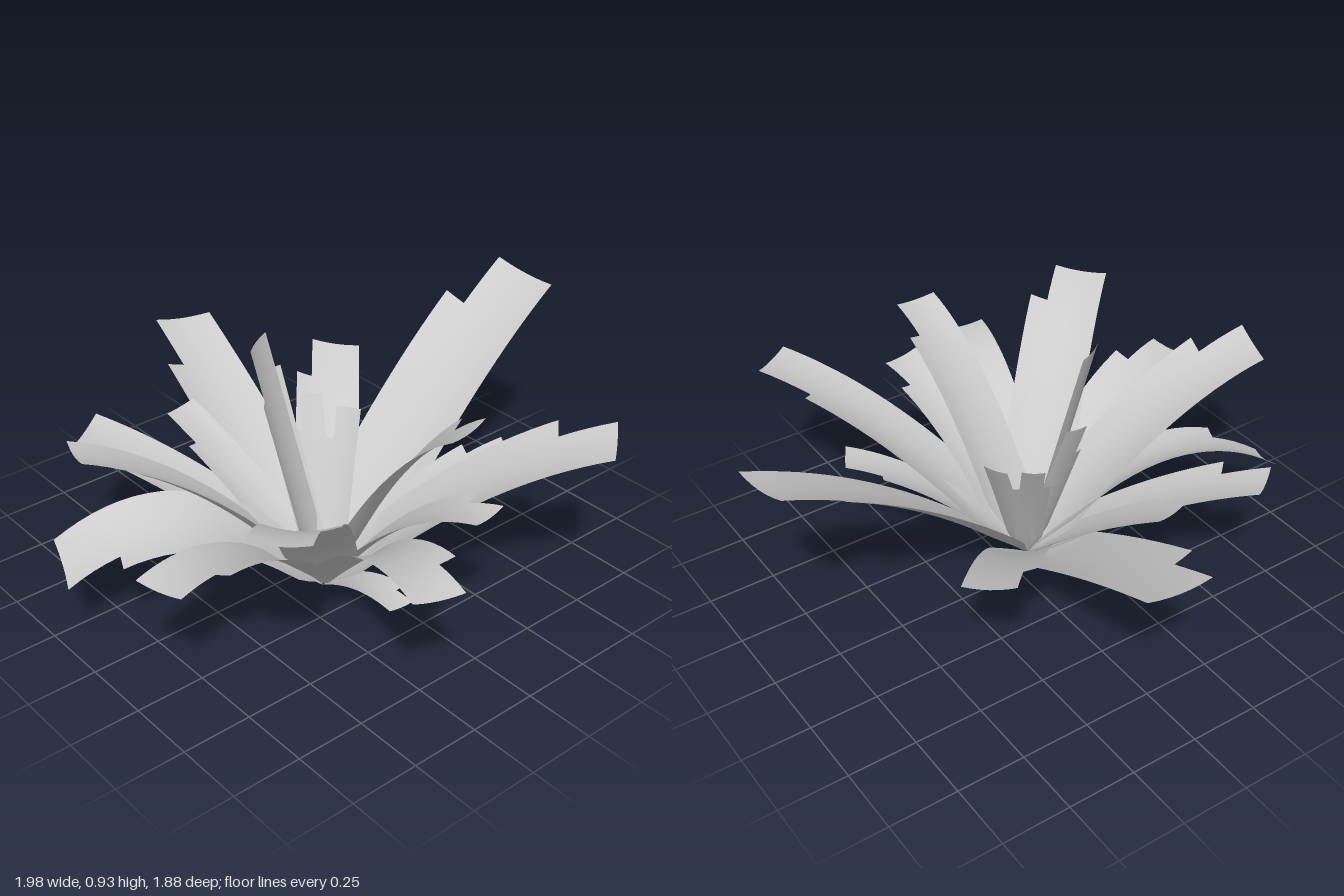
import * as THREE from 'three';

const material = new THREE.MeshStandardMaterial({ color: 0xcccccc, side: THREE.DoubleSide });
const ROWS = 20, COLS = 8, STEP_COL = 6;
const NOTCH_ROW = 16, NOTCH_RATIO = 0.32; // where the tip step starts, and its width relative to the tip
const CROWN = new THREE.Vector3(-0.1, 0.01, 0.1);

// Each leaf: name, tip centre x, y, z, tip width, arch, roll (positive lifts the notched edge)
const LEAVES = [
  ['rightLeaf', 0.98, 0.845, -0.03, 0.25, 0.17, 0.2],
  ['backLeaf', 0.05, 0.615, -0.93, 0.225, 0.06, 0.16],
  ['backRightLeaf', 0.465, 0.53, -0.51, 0.18, 0.1, 0.18],
  ['backInnerLeaf', -0.26, 0.51, -0.52, 0.14, 0.06, 0.05],
  ['backLeftLeaf', -0.615, 0.525, -0.58, 0.18, 0.12, 0],
  ['leftDroopingLeaf', -0.95, 0.28, -0.24, 0.21, 0.44, -0.28],
  ['leftUpperLeaf', -0.92, 0.745, -0.14, 0.2, 0.22, 0.2],
  ['leftLowerLeaf', -0.935, 0.48, 0.315, 0.18, 0.26, 0.1],
  ['frontLeftLeaf', -0.735, 0.735, 0.65, 0.2, 0.26, 0.1],
  ['frontLowLeaf', -0.335, 0.495, 0.905, 0.18, 0.3, 0],
  ['frontUnderLeaf', 0.025, 0.56, 0.755, 0.15, 0.22, 0.05],
  ['frontUpperLeaf', 0, 0.84, 0.67, 0.17, 0.26, 0.15],
  ['frontRightLeaf', 0.515, 0.68, 0.835, 0.21, 0.2, 0.18],
  ['frontRightShortLeaf', 0.465, 0.48, 0.405, 0.135, 0.14, 0.1],
  ['tallLeaf', -0.235, 0.93, -0.085, 0.145, 0, 0],
  ['innerBackLeaf', -0.09, 0.735, -0.205, 0.08, 0, 0],
  ['innerBackRightLeaf', 0.06, 0.595, -0.17, 0.08, 0.02, 0],
  ['innerRightLeaf', 0.135, 0.565, -0.05, 0.09, 0.02, 0],
  ['frontSmallLeaf', -0.12, 0.14, 0.515, 0.1, 0.09, 0],
];

// Strap leaf: an arched, shallow gutter that flares from the crown, with a step cut out of one tip corner
function leafGeometry(x, y, z, tipWidth, arch, roll) {
  const tip = new THREE.Vector3(x, y, z);
  const heading = tip.clone().sub(CROWN).setY(0).normalize();
  const across = new THREE.Vector3(heading.z, 0, -heading.x)
    .multiplyScalar(Math.cos(roll)).setY(Math.sin(roll));
  const notchWidth = tipWidth * NOTCH_RATIO, width = tipWidth + notchWidth;
  const end = tip.addScaledVector(across, notchWidth / 2);
  const base = CROWN.clone().addScaledVector(heading, 0.015);
  const bend = base.clone().lerp(end, 0.5);
  bend.y += arch;
  const spine = new THREE.QuadraticBezierCurve3(base, bend, end);

  const stepU = tipWidth / width;
  const positions = [], index = [];
  for (let r = 0; r <= ROWS; r++) {
    const t = r / ROWS, p = spine.getPoint(t);
    const up = spine.getTangent(t).cross(across).normalize();
    if (up.y < 0) up.negate();
    const w = width * (0.1 + 0.9 * THREE.MathUtils.smoothstep(t, -0.03, 0.18));
    for (let c = 0; c <= COLS; c++) {
      const u = c <= STEP_COL
        ? stepU * c / STEP_COL
        : stepU + (1 - stepU) * (c - STEP_COL) / (COLS - STEP_COL);
      const s = 2 * u - 1;
      const cup = (s * s - 0.4) * w * (0.11 - 0.04 * t);
      const v = p.clone().addScaledVector(across, s * w / 2).addScaledVector(up, cup);
      positions.push(v.x, Math.max(v.y, 0), v.z);
      if (r < ROWS && c < COLS && !(c >= STEP_COL && r >= NOTCH_ROW)) {
        const i = r * (COLS + 1) + c, j = i + COLS + 1;
        index.push(i, i + 1, j, i + 1, j + 1, j);
      }
    }
  }
  const geometry = new THREE.BufferGeometry();
  geometry.setAttribute('position', new THREE.Float32BufferAttribute(positions, 3));
  geometry.setIndex(index);
  geometry.computeVertexNormals();
  return geometry;
}

export function createModel() {
  const plant = new THREE.Group();
  plant.name = 'rosettePlant';
  for (const [name, ...shape] of LEAVES) {
    const leaf = new THREE.Mesh(leafGeometry(...shape), material);
    leaf.name = name;
    plant.add(leaf);
  }
  return plant;
}
